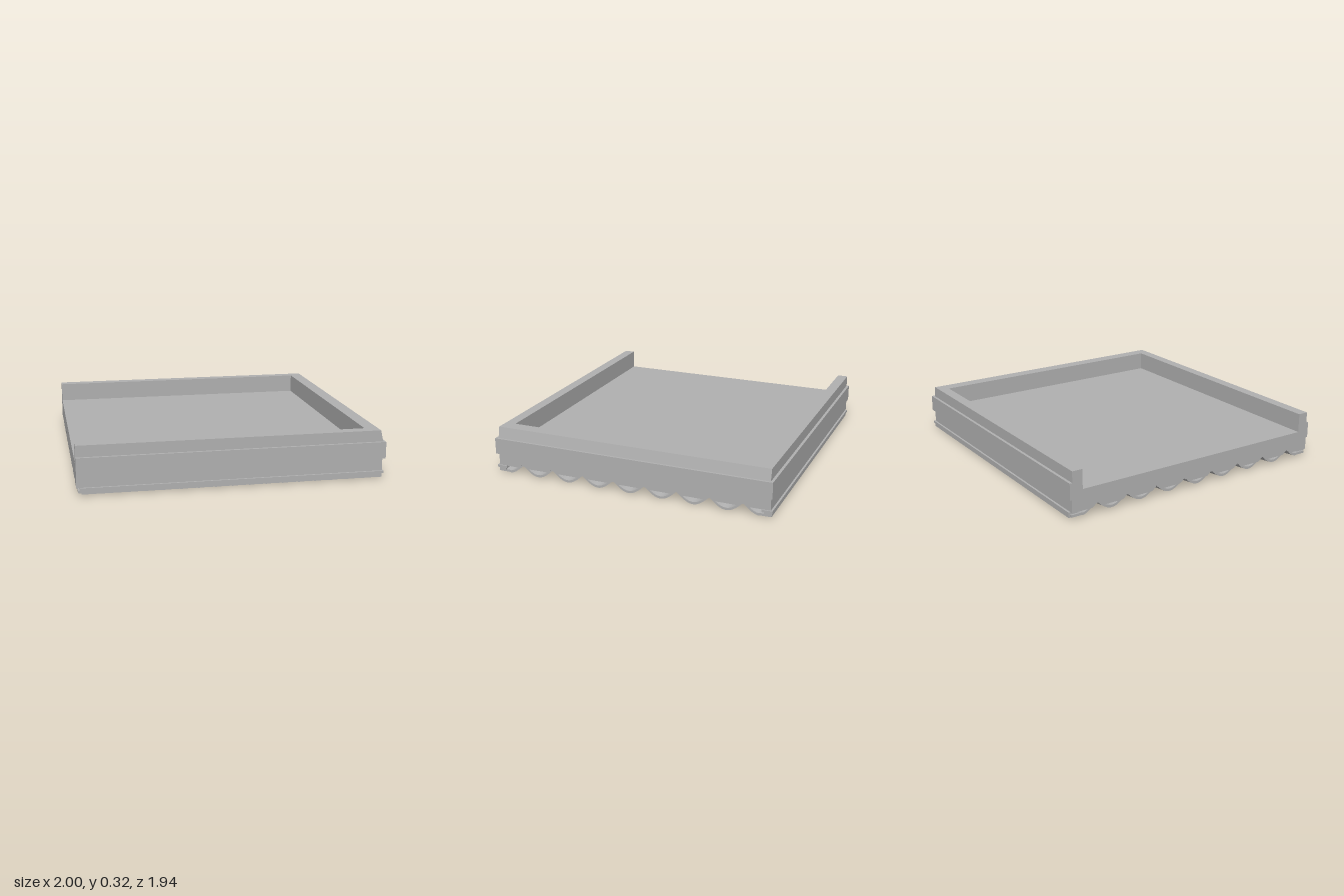
import * as THREE from 'three';
import { toCreasedNormals } from 'three/addons/utils/BufferGeometryUtils.js';

const PITCH = 0.222;   // spacing of the ribs under the slab
const FLOOR = 0.19;
const INNER = 0.88;    // inner face of the raised rim

// Underside height: round troughs, pointed peaks, flat outer margins
const wave = (z) => Math.abs(z) > PITCH * 4 ? 0.004 : 0.066 * (1 - Math.abs(Math.cos(Math.PI * z / PITCH)));

// Shape across z bounded by two height rules
function crossSection(half, bottom, top) {
  const n = 144, lower = [], upper = [];
  for (let i = 0; i <= n; i++) {
    const z = -half + (2 * half * i) / n;
    lower.push(new THREE.Vector2(z, bottom(z)));
    upper.unshift(new THREE.Vector2(z, top(z)));
  }
  return new THREE.Shape([...lower, ...upper]);
}

// Extrude a cross-section along x
function alongX(shape, x0, x1) {
  return new THREE.ExtrudeGeometry(shape, { depth: x1 - x0, bevelEnabled: false })
    .rotateY(Math.PI / 2).translate(x0, 0, 0);
}

// U-shaped band, open at x = -1
function uBand(outerX, outerZ, y0, y1) {
  const s = new THREE.Shape([
    [-1, -outerZ], [outerX, -outerZ], [outerX, outerZ], [-1, outerZ],
    [-1, INNER], [INNER, INNER], [INNER, -INNER], [-1, -INNER],
  ].map(([x, y]) => new THREE.Vector2(x, y)));
  return new THREE.ExtrudeGeometry(s, { depth: y1 - y0, bevelEnabled: false })
    .rotateX(-Math.PI / 2).translate(0, y0, 0);
}

export function createModel() {
  const model = new THREE.Group();
  const grey = new THREE.MeshStandardMaterial({ color: 0xb0b0b0 });
  grey.name = 'stone grey';
  const add = (name, geometry, parent = model) => {
    const mesh = new THREE.Mesh(geometry, grey);
    mesh.name = name;
    parent.add(mesh);
    return mesh;
  };

  // Slab with flat floor and scalloped underside
  const slab = crossSection(0.957, (z) => Math.max(wave(z) + 0.014, 0.05), () => FLOOR);
  add('slab', toCreasedNormals(alongX(slab, -1, 0.982), 0.5));

  // Projecting middle band
  add('middleBand', uBand(1, 0.97, 0.135, 0.245));

  // Raised rim, its end wall leaning slightly inward
  const rim = uBand(0.985, 0.952, 0.245, 0.32);
  const p = rim.attributes.position;
  for (let i = 0; i < p.count; i++) {
    if (p.getX(i) > 0.9 && p.getY(i) > 0.3) p.setX(i, 0.967);
  }
  rim.computeVertexNormals();
  add('raisedRim', rim);

  // Overlapping corrugated tile courses, each tilted
  const tiles = new THREE.Group();
  tiles.name = 'undersideTiles';
  model.add(tiles);
  const courses = 18, step = 1.965 / courses;
  const tileShape = crossSection(0.955, wave, (z) => wave(z) + 0.016);
  for (let i = 0; i < courses; i++) {
    const x0 = -0.99 + i * step;
    const g = alongX(tileShape, x0, x0 + step);
    const q = g.attributes.position;
    for (let k = 0; k < q.count; k++) {
      q.setY(k, q.getY(k) + 0.013 * (1 - (q.getX(k) - x0) / step));
    }
    add('tileCourse', toCreasedNormals(g, 0.5), tiles);
  }

  // Thin lips along both long bottom edges
  for (const side of [-1, 1]) {
    add('bottomLip', new THREE.BoxGeometry(1.97, 0.016, 0.07).translate(0.005, 0.043, side * 0.935));
    add('bottomEdge', new THREE.BoxGeometry(1.95, 0.03, 0.05).translate(0.005, 0.024, side * 0.938));
  }
  return model;
}
